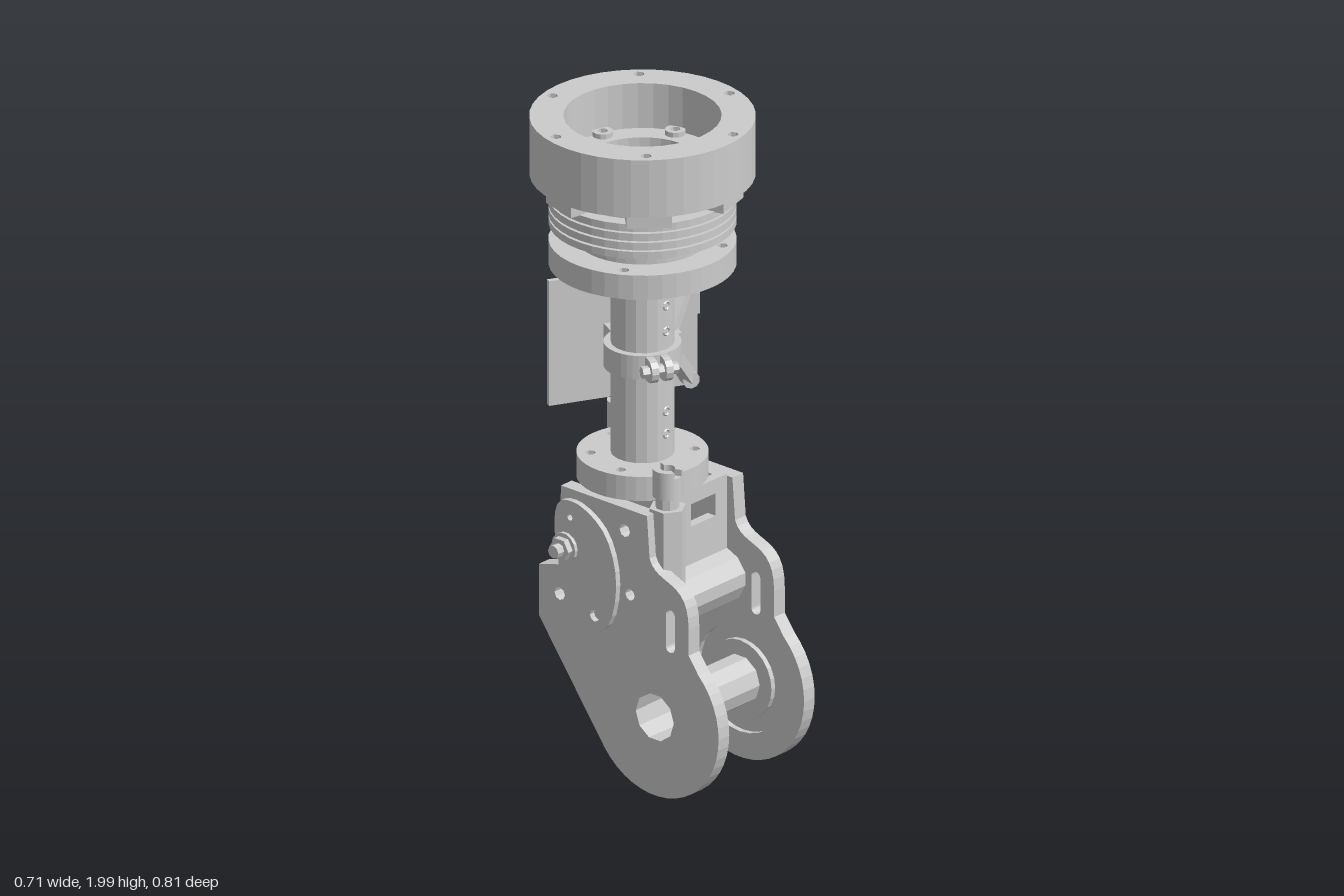
import * as THREE from 'three';

const mat = new THREE.MeshStandardMaterial({ color: 0xcccccc, flatShading: true, side: THREE.DoubleSide });
const AX = -0.03, AZ = -0.07; // axis of the column

function add(parent, name, geo, x = 0, y = 0, z = 0) {
  const m = new THREE.Mesh(geo, mat);
  m.name = name;
  m.position.set(x, y, z);
  parent.add(m);
  return m;
}
const box = (p, name, w, h, d, x, y, z) => add(p, name, new THREE.BoxGeometry(w, h, d), x, y, z);
const rod = (p, name, r, y0, y1, x, z, seg = 12) =>
  add(p, name, new THREE.CylinderGeometry(r, r, y1 - y0, seg), x, (y0 + y1) / 2, z);
function rodX(p, name, r, x0, x1, y, z, seg = 12) {
  const g = new THREE.CylinderGeometry(r, r, Math.abs(x1 - x0), seg).rotateZ(Math.PI / 2);
  return add(p, name, g, (x0 + x1) / 2, y, z);
}
const polar = (n, r, start, fn) => {
  for (let i = 0; i < n; i++) {
    const a = start + (i / n) * Math.PI * 2;
    fn(r * Math.cos(a), r * Math.sin(a), a);
  }
};
const vecs = list => list.map(p => new THREE.Vector2(...p));
const circle = (x, y, r, n = 8) => {
  const pts = [];
  polar(n, r, 0, (u, v) => pts.push([x + u, y + v]));
  return new THREE.Path(vecs(pts));
};
const extrude = (shape, depth) =>
  new THREE.ExtrudeGeometry(shape, { depth, bevelEnabled: false, curveSegments: 12 });

// Horizontal disc with an optional bore and a ring of bolt holes
function disc(p, name, R, bore, y0, y1, holes) {
  const s = new THREE.Shape(circle(0, 0, R, 40).getPoints());
  if (bore) s.holes.push(circle(0, 0, bore, 32));
  if (holes) polar(holes.n, holes.at, holes.start, (x, y) => s.holes.push(circle(x, y, holes.r, 6)));
  return add(p, name, extrude(s, y1 - y0).rotateX(-Math.PI / 2), 0, y0, 0);
}
// Plate lying in the z-y plane, reaching from x to x - depth
const sidePlate = (p, name, shape, depth, x) =>
  add(p, name, extrude(shape, depth).rotateY(-Math.PI / 2), x, 0, 0);

function buildColumn() {
  const g = new THREE.Group();
  g.name = 'column';
  g.position.set(AX, 0, AZ);
  // Top ring and the stepped cup inside it
  disc(g, 'topRing', 0.325, 0.227, 1.82, 2, { n: 6, at: 0.293, start: 1.81, r: 0.017 });
  disc(g, 'innerLedge', 0.229, 0.16, 1.77, 1.86);
  polar(6, 0.25, 1.3, (x, z, a) => {
    box(g, 'ringTab', 0.08, 0.05, 0.13, x, 1.797, z).rotation.y = -a;
  });
  for (const deg of [-75, -15, 105, 165]) {
    const a = THREE.MathUtils.degToRad(deg);
    const s = new THREE.Shape(circle(0, 0, 0.03, 12).getPoints());
    s.holes.push(circle(0, 0, 0.016, 6));
    add(g, 'socketScrew', extrude(s, 0.02).rotateX(-Math.PI / 2), 0.208 * Math.cos(a), 1.855, 0.208 * Math.sin(a));
  }
  // Stack of thin discs
  for (let i = 0; i < 4; i++) disc(g, 'stackDisc', 0.27, 0.16, 1.667 + i * 0.0285, 1.689 + i * 0.0285);
  disc(g, 'stackCore', 0.258, 0.16, 1.67, 1.772);
  disc(g, 'neck', 0.19, 0, 1.61, 1.672);
  polar(4, 0.148, Math.PI / 4, (x, z) => rod(g, 'floorNut', 0.032, 1.67, 1.695, x, z, 6));
  // Flange and collar
  disc(g, 'upperFlange', 0.27, 0, 1.54, 1.615, { n: 4, at: 0.235, start: 0.5, r: 0.016 });
  disc(g, 'collar', 0.195, 0, 1.505, 1.545);
  // Tube with its screw heads
  rod(g, 'tube', 0.092, 0.94, 1.51, 0, 0, 18);
  for (const y of [1.43, 1.35, 1.1, 1.03])
    for (const s of [1, -1])
      add(g, 'tubeScrew', new THREE.TorusGeometry(0.012, 0.004, 4, 8), 0, y, s * 0.091);
  // Lower flange
  disc(g, 'lowerFlange', 0.19, 0, 0.875, 0.95, { n: 6, at: 0.15, start: 0.3, r: 0.016 });
  return g;
}

function buildElectronics() {
  const g = new THREE.Group();
  g.name = 'electronics';
  g.position.set(AX, 1.257, AZ);
  g.rotation.y = -0.475;
  // Clamp around the tube, with lugs and a bolt
  disc(g, 'clampRing', 0.112, 0.09, -0.037, 0.037);
  for (const x of [-0.022, 0.022]) {
    const lug = new THREE.CylinderGeometry(0.036, 0.036, 0.022, 12).rotateZ(Math.PI / 2);
    add(g, 'clampLug', lug, x, 0, 0.13);
    box(g, 'clampLugBase', 0.022, 0.07, 0.04, x, 0, 0.11);
  }
  rodX(g, 'clampBolt', 0.018, -0.055, 0.055, 0, 0.135, 6);
  // V-shaped bracket reaching two corners of the board
  box(g, 'bracketRoot', 0.05, 0.074, 0.06, 0.1, 0, -0.04);
  box(g, 'bracketPad', 0.12, 0.074, 0.08, 0, 0, -0.12);
  for (const sy of [-1, 1]) {
    const a = new THREE.Vector3(0.1, sy * 0.025, -0.045), b = new THREE.Vector3(0.195, sy * 0.165, -0.135);
    const arm = add(g, 'boardArm', new THREE.BoxGeometry(0.036, 0.036, a.distanceTo(b)));
    arm.position.copy(a).lerp(b, 0.5);
    const dir = b.clone().sub(a).normalize();
    arm.quaternion.setFromUnitVectors(new THREE.Vector3(0, 0, 1), dir);
    const boss = new THREE.CylinderGeometry(0.026, 0.026, 0.045, 10).rotateX(Math.PI / 2);
    add(g, 'armBoss', boss, 0.195, sy * 0.165, -0.137);
  }
  // Board, housing and connectors
  box(g, 'circuitBoard', 0.455, 0.39, 0.016, 0, 0, -0.162);
  box(g, 'housing', 0.37, 0.205, 0.125, 0.023, 0.022, -0.2325);
  box(g, 'housingFlank', 0.02, 0.205, 0.1, -0.17, 0.022, -0.22);
  box(g, 'sidePlug', 0.1, 0.065, 0.028, 0.23, 0, -0.283);
  box(g, 'topConnector', 0.18, 0.07, 0.07, -0.03, 0.155, -0.205);
  box(g, 'topConnectorTab', 0.1, 0.07, 0.05, -0.06, 0.155, -0.265);
  for (const [x, w, h, d] of [[-0.1, 0.12, 0.07, 0.07], [0.04, 0.06, 0.05, 0.05], [0.12, 0.07, 0.06, 0.06]])
    box(g, 'connector', w, h, d, x, -0.12, -0.165 - d / 2);
  return g;
}

// Slotted socket on a hexagonal body
function buildPost(x, z, y0) {
  const g = new THREE.Group();
  g.name = 'post';
  g.position.set(x, 0, z);
  rod(g, 'postBody', 0.055, y0, 0.88, 0, 0, 6);
  rod(g, 'postFoot', 0.04, y0 - 0.03, y0, 0, 0, 10);
  rod(g, 'postNeck', 0.035, 0.87, 0.93, 0, 0, 10);
  disc(g, 'postSocket', 0.043, 0.022, 0.915, 0.98);
  for (const a of [0, Math.PI]) {
    const s = new THREE.Shape();
    s.absarc(0, 0, 0.043, a - 1.2, a + 1.2, false);
    s.absarc(0, 0, 0.022, a + 1.2, a - 1.2, true);
    add(g, 'socketProng', extrude(s, 0.02).rotateX(-Math.PI / 2), 0, 0.98, 0);
  }
  return g;
}

// Hollow knuckle: cheeks, front wall with a window, back wall with an oval, drum below
function buildKnuckle() {
  const g = new THREE.Group();
  g.name = 'knuckle';
  const cheek = new THREE.Shape(vecs([[-0.2, 0.6], [0.11, 0.6], [0.11, 0.88], [-0.2, 0.88]]));
  for (const x of [0.155, -0.055]) sidePlate(g, 'cheek', cheek, 0.03, x);
  const wall = hole => {
    const s = new THREE.Shape(vecs([[-0.085, 0.6], [0.155, 0.6], [0.155, 0.88], [-0.085, 0.88]]));
    s.holes.push(hole);
    return extrude(s, 0.03);
  };
  add(g, 'frontWall', wall(new THREE.Path(vecs([[0, 0.765], [0.105, 0.765], [0.105, 0.835], [0, 0.835]]))), 0, 0, 0.085);
  const oval = new THREE.Path();
  oval.absarc(0.035, 0.775, 0.05, 0, Math.PI, false);
  oval.absarc(0.035, 0.71, 0.05, Math.PI, Math.PI * 2, false);
  add(g, 'backWall', wall(oval), 0, 0, -0.205);
  const drum = new THREE.Shape(vecs([[-0.2, 0.65], [0.11, 0.65], [0.155, 0.63], [0.185, 0.59], [0.185, 0.55],
    [0.16, 0.505], [0.11, 0.475], [0.05, 0.465], [-0.2, 0.465], [-0.285, 0.52], [-0.28, 0.58], [-0.25, 0.63]]));
  sidePlate(g, 'drum', drum, 0.24, 0.155);
  box(g, 'crossSlab', 0.33, 0.04, 0.27, 0, 0.482, -0.065);
  box(g, 'postMount', 0.07, 0.22, 0.07, 0.14, 0.75, -0.22);
  return g;
}

function buildFork() {
  const g = new THREE.Group();
  g.name = 'fork';
  g.position.x = -0.028;
  // Outline of a side plate, as z and y
  const plate = new THREE.Shape();
  plate.absarc(0.16, 0.25, 0.245, 0.82, -2.48, true);
  [[-0.285, 0.44], [-0.285, 0.6], [-0.21, 0.62], [-0.2, 0.87], [0.13, 0.87], [0.14, 0.74]].forEach(p => plate.lineTo(...p));
  plate.bezierCurveTo(0.17, 0.66, 0.29, 0.72, 0.29, 0.56);
  plate.lineTo(0.29, 0.48);
  const slot = new THREE.Path();
  slot.absarc(0.22, 0.585, 0.017, 0, Math.PI, false);
  slot.absarc(0.22, 0.485, 0.017, Math.PI, Math.PI * 2, false);
  const holes = [slot, circle(0.045, 0.8, 0.02), circle(0.065, 0.605, 0.018), circle(-0.205, 0.53, 0.02)];
  const bore = circle(0.16, 0.25, 0.073, 10);
  // The inner layer is cut wider, leaving a round groove about a hub
  const innerLayer = plate.clone();
  plate.holes.push(...holes, bore);
  innerLayer.holes.push(...holes, circle(0.16, 0.25, 0.165, 28));
  const hub = new THREE.Shape(circle(0.16, 0.25, 0.12, 24).getPoints());
  hub.holes.push(bore);
  // Kidney-shaped cam
  const cam = new THREE.Shape(new THREE.CatmullRomCurve3(
    [[-0.06, 0.455], [0, 0.5], [0.027, 0.65], [-0.02, 0.78], [-0.12, 0.84], [-0.19, 0.83], [-0.21, 0.75],
      [-0.19, 0.67], [-0.14, 0.64], [-0.115, 0.56], [-0.1, 0.48]].map(([z, y]) => new THREE.Vector3(z, y, 0)), true)
    .getPoints(36).slice(0, -1).map(p => new THREE.Vector2(p.x, p.y)));
  cam.holes.push(circle(-0.055, 0.51, 0.018), circle(-0.15, 0.79, 0.01));

  for (const s of [1, -1]) {
    sidePlate(g, 'sidePlate', plate, 0.03, s > 0 ? 0.207 : -0.177);
    sidePlate(g, 'plateInnerLayer', innerLayer, 0.016, s > 0 ? 0.177 : -0.161);
    sidePlate(g, 'plateHub', hub, 0.016, s > 0 ? 0.177 : -0.161);
    sidePlate(g, 'cam', cam, 0.018, s > 0 ? 0.225 : -0.207);
    rodX(g, 'camWasher', 0.045, s * 0.22, s * 0.236, 0.695, -0.165, 14);
    rodX(g, 'camNut', 0.036, s * 0.236, s * 0.255, 0.695, -0.165, 6);
    rodX(g, 'camBolt', 0.02, s * 0.12, s * 0.28, 0.695, -0.165, 8);
  }
  // Hollow axle between the plates
  const axle = new THREE.CylinderGeometry(0.075, 0.075, 0.34, 10, 1, true).rotateZ(Math.PI / 2);
  add(g, 'hollowAxle', axle, 0, 0.25, 0.16);
  g.add(buildKnuckle());
  return g;
}

export function createModel() {
  const model = new THREE.Group();
  model.name = 'legAssembly';
  model.add(buildColumn(), buildElectronics(), buildFork(),
    buildPost(-0.16, 0.142, 0.58), buildPost(0.12, -0.283, 0.65));
  return model;
}
